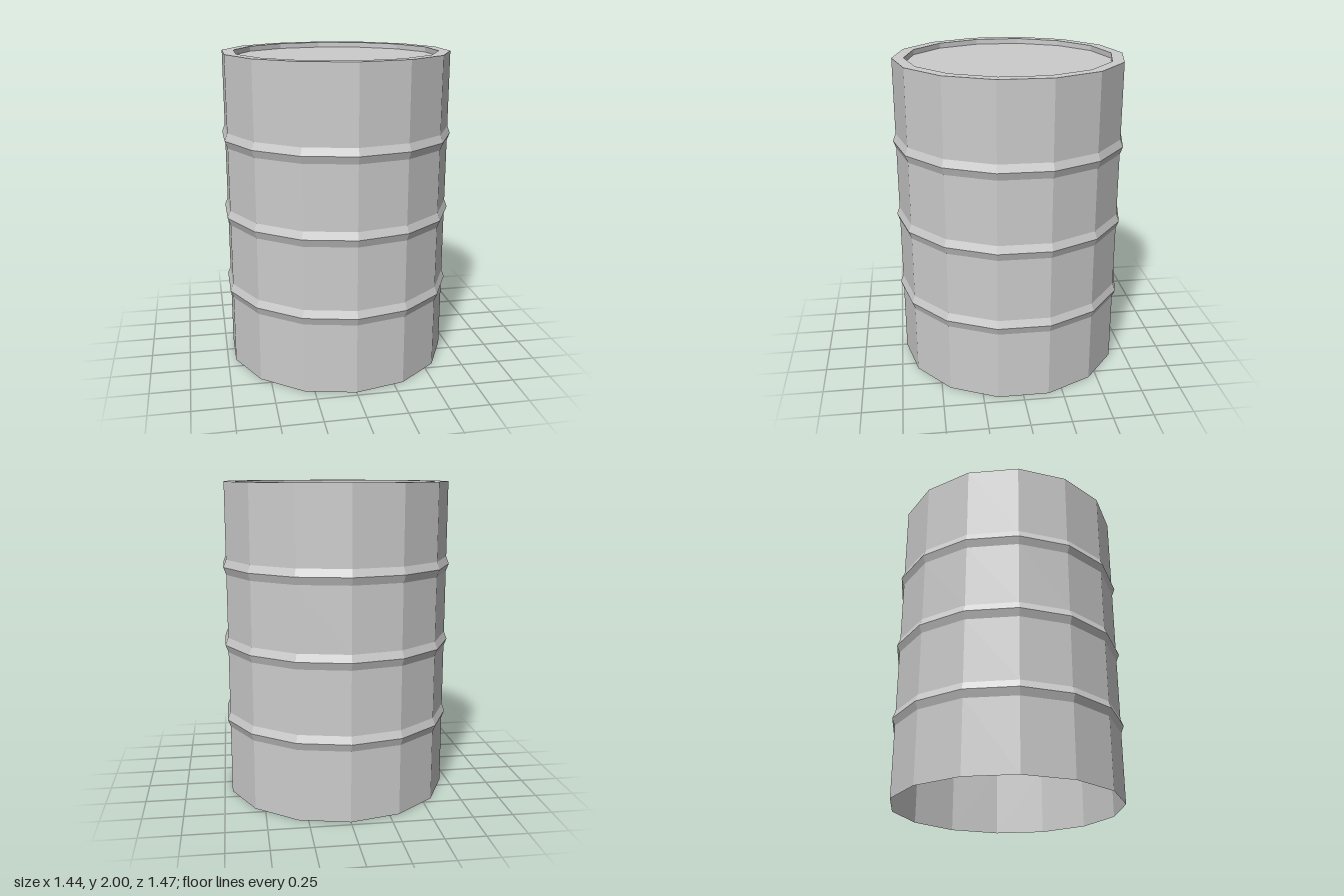
import * as THREE from 'three';

const SIDES = 14;
const BODY_R = 0.718, RING_R = 0.736, LID_R = 0.645;
const HEIGHT = 2, LID_Y = 1.967, RING_HALF = 0.047;

export function createModel() {
  const drum = new THREE.Group();
  drum.name = 'drum';
  const material = new THREE.MeshStandardMaterial({
    color: 0xcccccc, flatShading: true, side: THREE.DoubleSide,
  });

  // Adds a faceted part turned around the y axis, with a corner facing +z
  const turn = (name, profile) => {
    const points = profile.map(([r, y]) => new THREE.Vector2(r, y));
    const mesh = new THREE.Mesh(new THREE.LatheGeometry(points, SIDES), material);
    mesh.name = name;
    drum.add(mesh);
  };

  // Thin wall, open at the bottom, pressed out into three hoops
  const wall = [[BODY_R, 0]];
  for (const y of [0.495, 0.987, 1.48]) {
    wall.push([BODY_R, y - RING_HALF], [RING_R, y], [BODY_R, y + RING_HALF]);
  }
  wall.push([BODY_R, HEIGHT]);
  turn('wall', wall);

  // Flat rim and its short inner drop
  turn('rim', [[BODY_R, HEIGHT], [LID_R, HEIGHT], [LID_R, LID_Y]]);

  // Sunken lid
  const lid = new THREE.Mesh(new THREE.CircleGeometry(LID_R, SIDES, Math.PI / 2), material);
  lid.name = 'lid';
  lid.rotation.x = -Math.PI / 2;
  lid.position.y = LID_Y;
  drum.add(lid);

  return drum;
}
